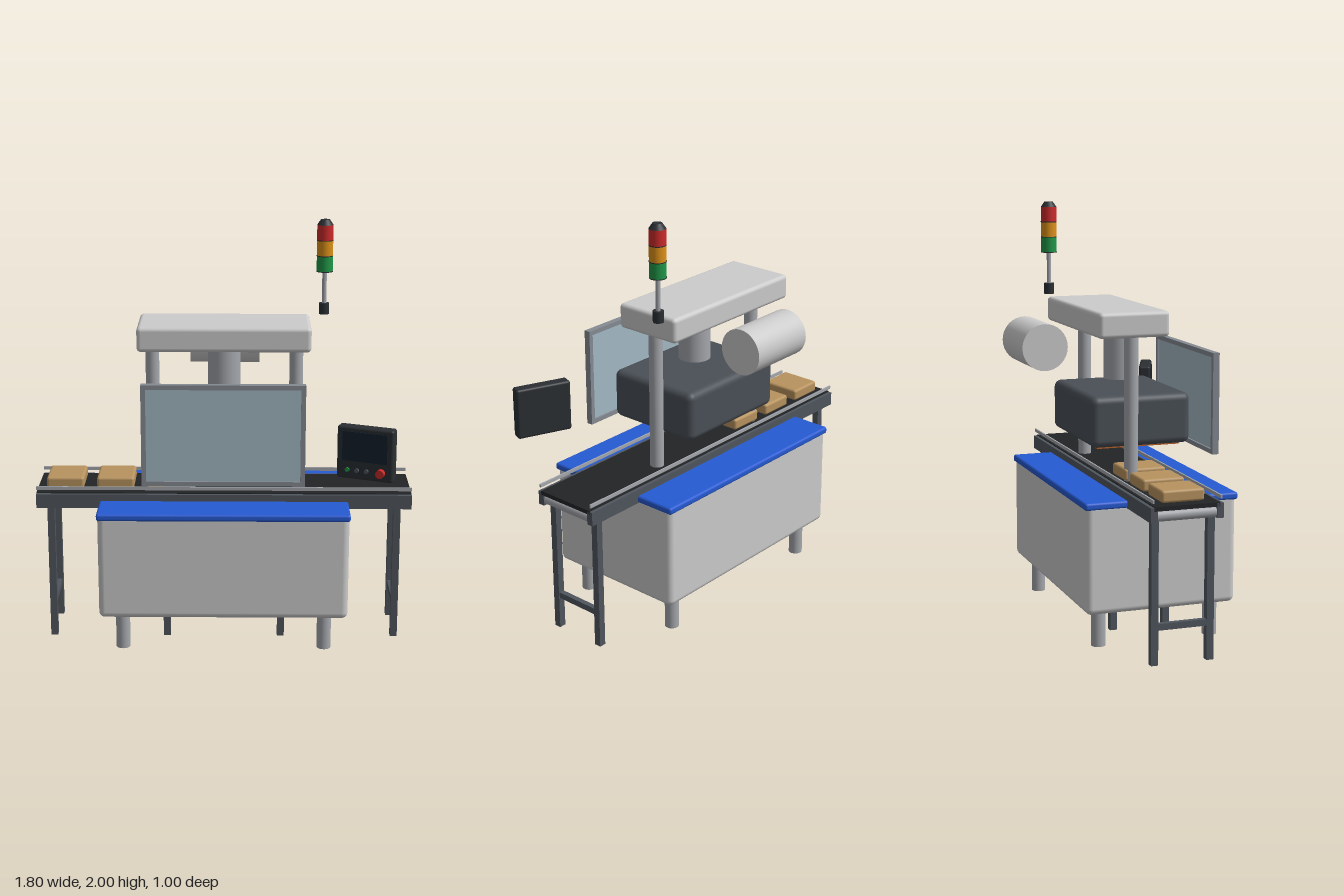
import * as THREE from 'three';
import { RoundedBoxGeometry } from 'three/addons/geometries/RoundedBoxGeometry.js';

const mat = (color) => new THREE.MeshStandardMaterial({ color });
const M = {
  grey: mat(0xcccccc), steel: mat(0xa4a7ac), frame: mat(0x50565e), dark: mat(0x4a5057),
  black: mat(0x222426), blue: mat(0x265ad2), carton: mat(0xb8935f), glass: mat(0xa4b9c5),
  trim: mat(0x868b93), panel: mat(0x2b2f33), screen: mat(0x16222e), red: mat(0xcc2a2a),
  amber: mat(0xdc9018), green: mat(0x1f9647), orange: mat(0xb5602a), yellow: mat(0xb59a2a),
};
const ZC = 0.035; // centre line of the conveyor and cabinet

export function createModel() {
  const root = new THREE.Group();
  root.name = 'inspectionConveyor';

  const add = (name, geo, material, x, y, z, parent = root) => {
    const m = new THREE.Mesh(geo, material);
    m.name = name;
    m.position.set(x, y, z);
    parent.add(m);
    return m;
  };
  const box = (name, w, h, d, material, x, y, z, parent) =>
    add(name, new THREE.BoxGeometry(w, h, d), material, x, y, z, parent);
  const rbox = (name, w, h, d, r, material, x, y, z, parent) =>
    add(name, new RoundedBoxGeometry(w, h, d, 4, r), material, x, y, z, parent);
  // Upright cylinder given by its lower and upper end
  const post = (name, r, y0, y1, material, x, z, parent, rTop = r) =>
    add(name, new THREE.CylinderGeometry(rTop, r, y1 - y0, 32), material, x, (y0 + y1) / 2, z, parent);

  // Base cabinet, blue worktop and round feet
  rbox('cabinet', 1.186, 0.52, 0.73, 0.03, M.grey, 0, 0.435, ZC);
  rbox('worktop', 1.194, 0.035, 0.745, 0.012, M.blue, 0, 0.684, ZC);
  for (const x of [-0.484, 0.484])
    for (const z of [-0.24, 0.315]) post('foot', 0.034, 0, 0.2, M.steel, x, z);

  // Conveyor: belt, side frames, guide rails, end rollers
  const conveyor = new THREE.Group();
  conveyor.name = 'conveyor';
  root.add(conveyor);
  box('belt', 1.8, 0.02, 0.31, M.black, 0, 0.728, ZC, conveyor);
  for (const s of [-1, 1]) {
    box('sideFrame', 1.8, 0.068, 0.032, M.frame, 0, 0.7, ZC + s * 0.156, conveyor);
    box('guideRail', 1.8, 0.016, 0.008, M.steel, 0, 0.762, ZC + s * 0.16, conveyor);
    const roller = post('endRoller', 0.026, -0.14, 0.14, M.steel, s * 0.872, ZC, conveyor);
    roller.rotation.x = Math.PI / 2;
    roller.position.y = 0.692;
  }

  // Conveyor trestles
  for (const x of [-0.833, -0.278, 0.278, 0.833]) {
    for (const s of [-1, 1]) box('trestleLeg', 0.034, 0.67, 0.034, M.frame, x, 0.335, ZC + s * 0.133, conveyor);
    box('trestleBrace', 0.026, 0.03, 0.24, M.frame, x, 0.175, ZC, conveyor);
  }

  // Cartons riding on the belt
  for (const x of [-0.765, -0.523, -0.281])
    rbox('carton', 0.18, 0.057, 0.204, 0.013, M.carton, x, 0.768, 0.033);

  // Gantry: two columns, crossbeam and hanging stem
  for (const x of [-0.347, 0.347]) post('column', 0.033, 0.68, 1.43, M.steel, x, -0.03);
  rbox('crossbeam', 0.826, 0.12, 0.343, 0.02, M.grey, 0, 1.475, -0.034);
  post('headStem', 0.078, 1.17, 1.43, M.steel, 0, ZC);

  // Scanning head with heated plate below and a small label on the front
  rbox('scanHead', 0.615, 0.243, 0.494, 0.035, M.dark, 0, 1.01, 0.038);
  box('headPlate', 0.5, 0.012, 0.41, M.orange, 0, 0.883, 0.04);
  box('frontLabel', 0.095, 0.08, 0.006, M.yellow, 0.212, 1.01, 0.287);

  // Horizontal drum behind the gantry
  const drum = post('rearDrum', 0.11, -0.173, 0.173, M.grey, 0, -0.392);
  drum.rotation.z = Math.PI / 2;
  drum.position.y = 1.357;

  // Framed safety window
  const shield = new THREE.Group();
  shield.name = 'safetyWindow';
  shield.position.set(0, 1.082, 0.383);
  root.add(shield);
  box('pane', 0.73, 0.46, 0.012, M.glass, 0, 0, 0, shield);
  for (const s of [-1, 1]) {
    box('windowRail', 0.76, 0.022, 0.032, M.trim, 0, s * 0.231, 0, shield);
    box('windowStile', 0.022, 0.484, 0.032, M.trim, s * 0.369, 0, 0, shield);
  }

  // Operator panel, turned towards the middle
  const panel = new THREE.Group();
  panel.name = 'operatorPanel';
  panel.position.set(0.662, 1.01, 0.413);
  panel.rotation.y = -0.385;
  root.add(panel);
  rbox('panelBody', 0.272, 0.25, 0.06, 0.012, M.panel, 0, 0, 0, panel);
  box('screen', 0.216, 0.14, 0.006, M.screen, 0, 0.033, 0.031, panel);
  const button = (name, r, depth, material, x) => {
    const b = add(name, new THREE.CylinderGeometry(r, r, depth, 24), material, x, -0.08, 0.03 + depth / 2, panel);
    b.rotation.x = Math.PI / 2;
  };
  button('startButton', 0.01, 0.01, M.green, -0.082);
  button('keyButton', 0.01, 0.01, M.frame, -0.036);
  button('keyButton', 0.01, 0.01, M.frame, 0.01);
  button('stopButton', 0.02, 0.026, M.red, 0.08);

  // Signal tower
  const tower = new THREE.Group();
  tower.name = 'signalTower';
  tower.position.set(0.483, 0, -0.172);
  root.add(tower);
  post('towerBase', 0.025, 1.54, 1.594, M.panel, 0, 0, tower);
  post('towerPole', 0.011, 1.59, 1.75, M.steel, 0, 0, tower);
  [M.green, M.amber, M.red].forEach((m, i) => {
    const y = 1.752 + i * 0.0755;
    post('towerLamp', 0.039, y, y + 0.072, m, 0, 0, tower);
    post('lampRing', 0.04, y - 0.004, y, M.panel, 0, 0, tower);
  });
  post('towerCap', 0.039, 1.975, 2.0, M.panel, 0, 0, tower, 0.022);

  return root;
}
